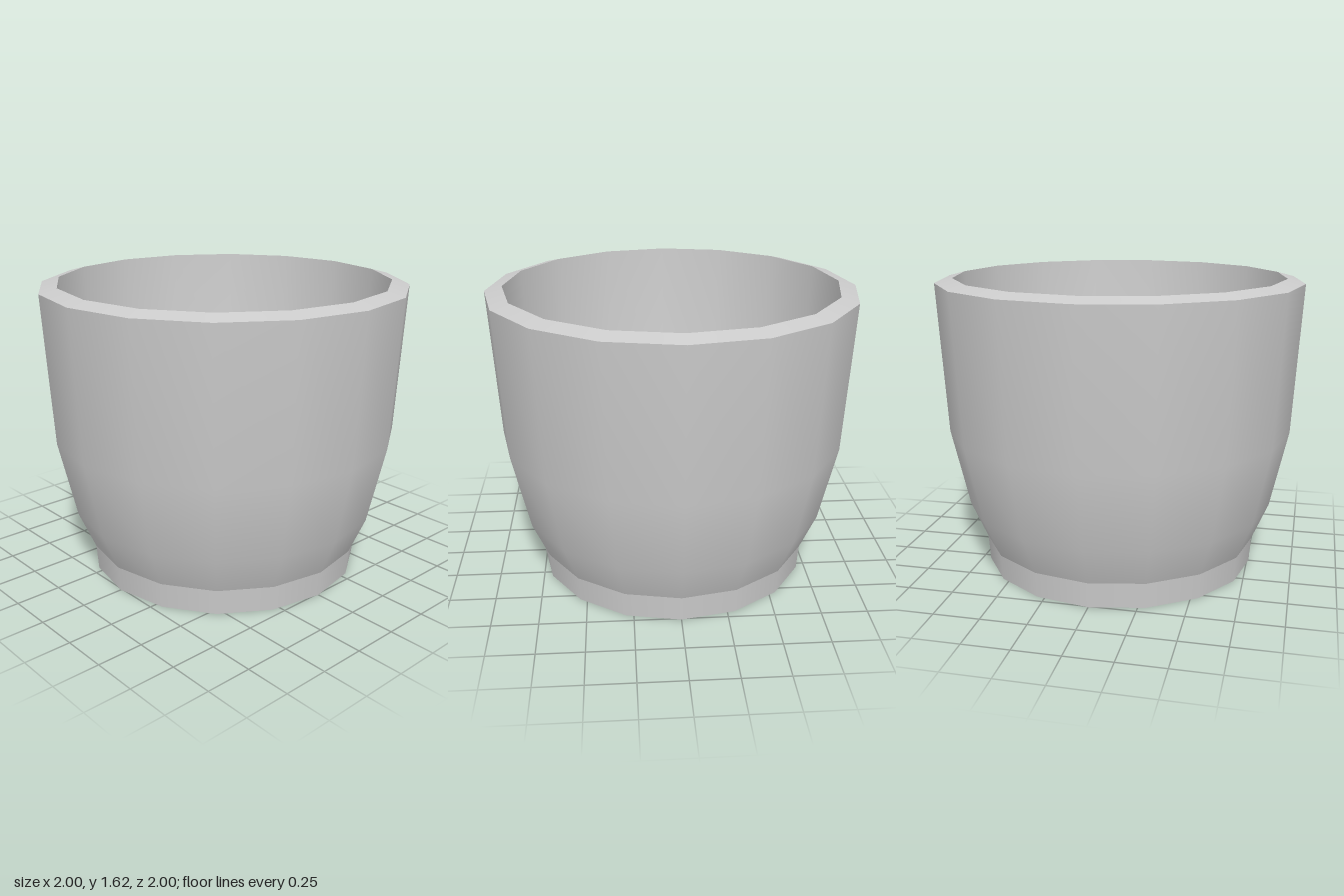
import * as THREE from 'three';

const SIDES = 16;

export function createModel() {
  const group = new THREE.Group();
  group.name = 'cup';
  const material = new THREE.MeshStandardMaterial({ color: 0xcccccc });

  // Each section is smooth in itself; the seams between sections stay sharp.
  const addSection = (name, profile) => {
    const points = profile.map(([r, y]) => new THREE.Vector2(r, y));
    const mesh = new THREE.Mesh(new THREE.LatheGeometry(points, SIDES), material);
    mesh.name = name;
    group.add(mesh);
  };

  // Profiles run from the underside, up the outside, over the rim and down inside
  addSection('underside', [[0, 0], [0.76, 0]]);
  addSection('foot', [[0.76, 0], [0.77, 0.14]]);
  addSection('outerWall', [[0.77, 0.14], [0.86, 0.35], [0.955, 0.78], [1, 1.595]]);
  addSection('rim', [[1, 1.595], [0.905, 1.62]]);
  addSection('innerWall', [
    [0.905, 1.62], [0.865, 0.8], [0.78, 0.39], [0.69, 0.2], [0.4, 0.13], [0, 0.11],
  ]);

  return group;
}
